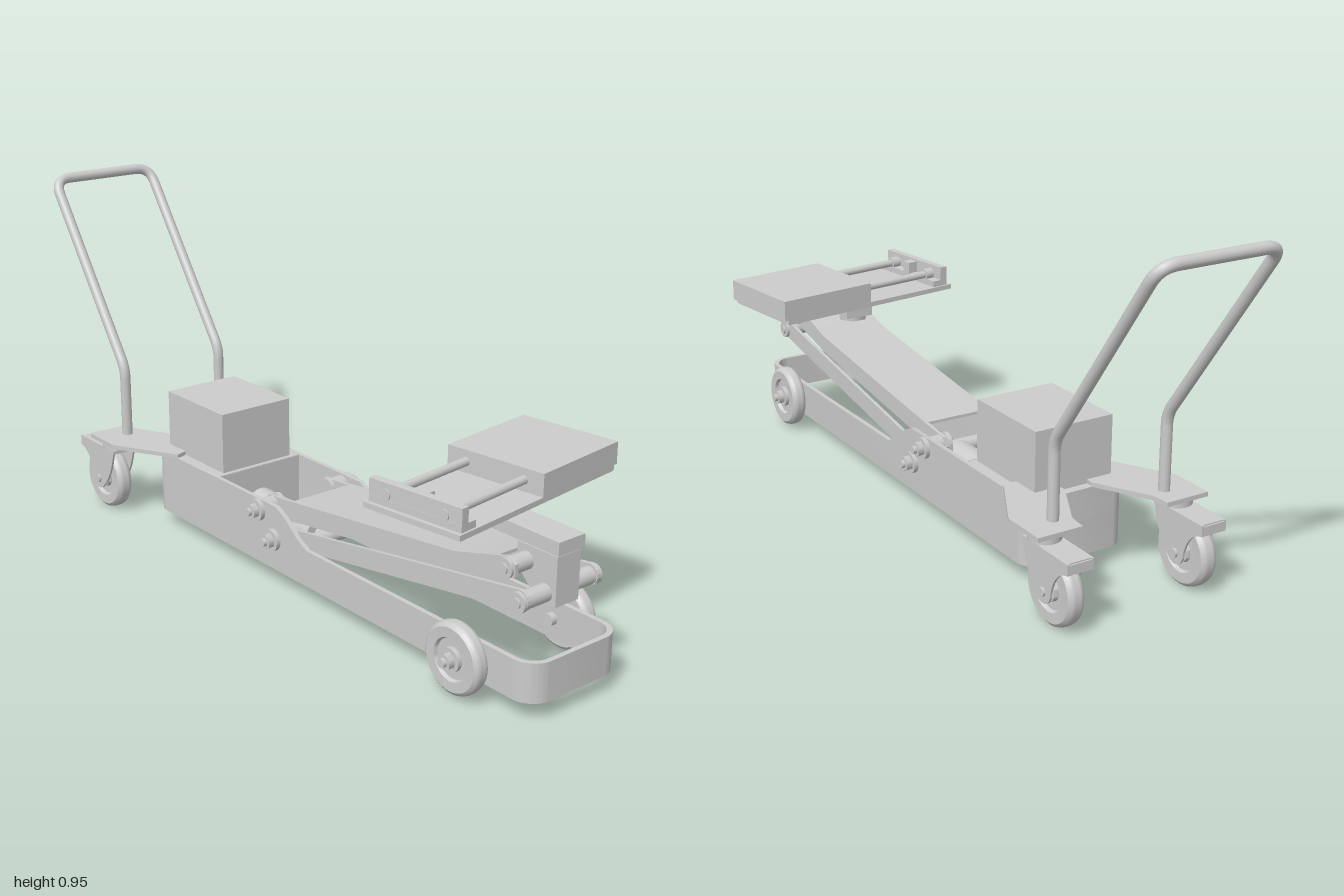
import * as THREE from 'three';
import { toCreasedNormals } from 'three/addons/utils/BufferGeometryUtils.js';

const grey = new THREE.MeshStandardMaterial({ color: 0xcccccc, side: THREE.DoubleSide });

function add(parent, name, geo, x = 0, y = 0, z = 0) {
  const mesh = new THREE.Mesh(geo, grey);
  mesh.name = name;
  mesh.position.set(x, y, z);
  parent.add(mesh);
  return mesh;
}

const box = (w, h, d) => new THREE.BoxGeometry(w, h, d);
const rodY = (r, h, n = 24) => new THREE.CylinderGeometry(r, r, h, n);
const rodZ = (r, h, n = 24) => rodY(r, h, n).rotateX(Math.PI / 2);
const rodX = (r, h, n = 24) => rodY(r, h, n).rotateZ(Math.PI / 2);
const poly = (pts) => new THREE.Shape(pts.map(([x, y]) => new THREE.Vector2(x, y)));

function extrude(shape, depth) {
  const geo = new THREE.ExtrudeGeometry(shape, { depth, bevelEnabled: false, curveSegments: 8 });
  return toCreasedNormals(geo, 0.5);
}
// Horizontal plate: shape drawn in x/z, rising from y0 by h
const slab = (shape, y0, h) => extrude(shape, h).rotateX(Math.PI / 2).translate(0, y0 + h, 0);
// Vertical plate: shape drawn in x/y, centred on z
const plate = (shape, z, t) => extrude(shape, t).translate(0, 0, z - t / 2);

// Rounded rectangle in x/z; square right-hand corners when rr is 0
function roundRect(x0, x1, half, rl, rr) {
  const s = new THREE.Shape();
  s.moveTo(x0 + rl, -half);
  s.lineTo(x1 - rr, -half);
  if (rr) s.absarc(x1 - rr, -half + rr, rr, -Math.PI / 2, 0);
  else s.lineTo(x1, half);
  if (rr) s.absarc(x1 - rr, half - rr, rr, 0, Math.PI / 2);
  s.lineTo(x0 + rl, half);
  s.absarc(x0 + rl, half - rl, rl, Math.PI / 2, Math.PI);
  s.absarc(x0 + rl, -half + rl, rl, Math.PI, Math.PI * 1.5);
  return s;
}

// Straight bar with rounded ends between two points in x/y
function link(x0, y0, x1, y1, r) {
  const a = Math.atan2(y1 - y0, x1 - x0);
  const s = new THREE.Shape();
  s.absarc(x1, y1, r, a - Math.PI / 2, a + Math.PI / 2);
  s.absarc(x0, y0, r, a + Math.PI / 2, a + Math.PI * 1.5);
  return s;
}

// Wheel turned about z with a rounded tread and recessed disc
function wheel(r, w) {
  const h = w / 2;
  const half = [[0, h], [0.3 * r, h], [0.32 * r, 0.5 * h], [0.56 * r, 0.5 * h], [0.6 * r, 0.95 * h], [0.88 * r, h], [0.97 * r, 0.7 * h], [r, 0.3 * h]];
  const pts = [...half.map(([a, b]) => [a, -b]), ...half.reverse()];
  const geo = new THREE.LatheGeometry(pts.map(([a, b]) => new THREE.Vector2(a, b)), 40);
  return toCreasedNormals(geo.rotateX(Math.PI / 2), 0.6);
}

function bolt(parent, name, x, y, z, side) {
  add(parent, name + 'Washer', rodZ(0.03, 0.012), x, y, z);
  add(parent, name + 'Nut', rodZ(0.021, 0.018, 6), x, y, z + side * 0.014);
  add(parent, name + 'Tip', rodZ(0.011, 0.012, 16), x, y, z + side * 0.027);
}

function buildChassis(g) {
  // Long low ring with a raised rear section
  const ring = roundRect(-0.505, 0.998, 0.15, 0.05, 0.06);
  ring.holes.push(roundRect(-0.492, 0.985, 0.137, 0.04, 0.05));
  add(g, 'frameRing', slab(ring, 0.05, 0.1));
  const rear = roundRect(-0.505, -0.2, 0.15, 0.05, 0);
  rear.holes.push(roundRect(-0.492, -0.208, 0.137, 0.04, 0));
  add(g, 'rearWall', slab(rear, 0.15, 0.08));
  add(g, 'rearDeck', slab(roundRect(-0.5, -0.2, 0.145, 0.045, 0), 0.22, 0.009));
  add(g, 'bulkhead', box(0.01, 0.178, 0.275), -0.203, 0.14, 0);
  add(g, 'pumpBox', box(0.265, 0.17, 0.23), -0.347, 0.314, 0);
  for (const s of [-1, 1]) {
    const cheek = poly([[-0.2, 0.15], [0.2, 0.15], [0.16, 0.17], [0.11, 0.21], [0.07, 0.23], [-0.2, 0.23]]);
    add(g, 'sideCheek', plate(cheek, s * 0.1435, 0.013));
    // Arm pivots
    for (const [x, y] of [[-0.005, 0.2], [0.06, 0.135]]) {
      add(g, 'pivotBush', rodZ(0.026, 0.055), x, y, s * 0.112);
      bolt(g, 'pivot', x, y, s * 0.156, s);
    }
    // Front wheels
    add(g, 'frontWheel', wheel(0.09, 0.042), 0.79, 0.102, s * 0.18);
    bolt(g, 'frontAxle', 0.79, 0.102, s * 0.196, s);
    add(g, 'frontAxle', rodZ(0.016, 0.06), 0.79, 0.102, s * 0.15);
  }
}

function buildCasters(g) {
  for (const s of [-1, 1]) {
    const wing = poly([[-0.695, 0.25], [-0.57, 0.25], [-0.39, 0.148], [-0.42, 0.05], [-0.5, 0.04], [-0.645, 0.12], [-0.695, 0.125]]
      .map(([x, z]) => [x, s * z]));
    add(g, 'casterWing', slab(wing, 0.228, 0.012));
    const c = new THREE.Group();
    c.name = 'caster';
    c.position.z = s * 0.195;
    g.add(c);
    add(c, 'casterWheel', wheel(0.093, 0.046), -0.69, 0.098, 0);
    add(c, 'casterAxle', rodZ(0.012, 0.088, 16), -0.69, 0.098, 0);
    add(c, 'swivel', rodY(0.042, 0.024), -0.64, 0.217, 0);
    add(c, 'forkTop', box(0.18, 0.01, 0.074), -0.692, 0.201, 0);
    add(c, 'forkLip', box(0.008, 0.025, 0.074), -0.782, 0.19, 0);
    const side = new THREE.Shape();
    side.moveTo(-0.786, 0.206);
    side.lineTo(-0.786, 0.178);
    side.quadraticCurveTo(-0.735, 0.17, -0.72, 0.1);
    side.absarc(-0.69, 0.098, 0.03, Math.PI, Math.PI * 1.8);
    side.quadraticCurveTo(-0.62, 0.12, -0.602, 0.206);
    for (const t of [-1, 1]) add(c, 'forkSide', plate(side, t * 0.034, 0.006));
  }
}

function buildHandle(g) {
  // Push handle: two bent uprights joined by a rounded top bar
  const low = [-0.63, 0.235], knee = [-0.63, 0.44], top = [-0.985, 0.94], w = 0.165;
  const v = ([x, y], z) => new THREE.Vector3(x, y, z);
  const corners = [v(low, -w), v(knee, -w), v(top, -w), v(top, w), v(knee, w), v(low, w)];
  const path = new THREE.CurvePath();
  let from = corners[0];
  for (let i = 1; i < 5; i++) {
    const p = corners[i];
    const r = i === 1 || i === 4 ? 0.03 : 0.05;
    const a = p.clone().add(corners[i - 1].clone().sub(p).setLength(r));
    const b = p.clone().add(corners[i + 1].clone().sub(p).setLength(r));
    path.add(new THREE.LineCurve3(from, a));
    path.add(new THREE.QuadraticBezierCurve3(a, p, b));
    from = b;
  }
  path.add(new THREE.LineCurve3(from, corners[5]));
  add(g, 'handle', new THREE.TubeGeometry(path, 240, 0.015, 14));
}

function buildArm(g) {
  // Main lifting arm: side plates with a bent top skin
  const side = poly([[-0.035, 0.2], [-0.025, 0.225], [0.04, 0.23], [0.69, 0.31], [0.86, 0.357], [0.888, 0.345], [0.888, 0.315],
    [0.86, 0.3], [0.69, 0.262], [0.13, 0.187], [0.02, 0.168], [-0.02, 0.172]]);
  const skin = poly([[0.075, 0.234], [0.69, 0.31], [0.83, 0.349], [0.83, 0.341], [0.69, 0.302], [0.075, 0.226]]);
  add(g, 'armSkin', plate(skin, 0, 0.2));
  for (const s of [-1, 1]) {
    add(g, 'armSide', plate(side, s * 0.097, 0.01));
    add(g, 'lowerLink', plate(link(0.06, 0.135, 0.92, 0.275, 0.026), s * 0.113, 0.01));
    // Lever on the arm pivot, driven by the cylinder
    add(g, 'lever', plate(link(-0.005, 0.2, 0, 0.068, 0.03), s * 0.085, 0.012));
    add(g, 'leverPinEnd', rodZ(0.018, 0.03, 16), 0, 0.062, s * 0.09);
  }
  add(g, 'leverPin', rodZ(0.014, 0.17, 16), 0.0, 0.062, 0);
  add(g, 'cylinder', rodX(0.047, 0.27, 32), -0.065, 0.115, 0);
  add(g, 'pistonRod', rodX(0.02, 0.07), 0.09, 0.115, 0);
  add(g, 'crossPin', rodZ(0.02, 0.23), 0.115, 0.125, 0);

  // Head block and its pins
  const head = poly([[0.83, 0.31], [0.89, 0.25], [0.953, 0.245], [0.953, 0.368], [0.83, 0.368]]);
  add(g, 'headBlock', plate(head, 0, 0.075));
  for (const [x, y, half] of [[0.86, 0.33, 0.105], [0.92, 0.272, 0.122]]) {
    add(g, 'headPin', rodZ(0.022, half * 1.8), x, y, 0);
    add(g, 'headPinCore', rodZ(0.013, half * 2 + 0.02, 16), x, y, 0);
    for (const s of [-1, 1]) add(g, 'headPinCap', rodZ(0.025, 0.01), x, y, s * half);
  }
}

function buildPlatform(g) {
  // Swing plate carrying the turntable
  add(g, 'swingPlate', box(0.32, 0.034, 0.085), 0.795, 0.387, -0.005);
  add(g, 'turntablePost', rodY(0.026, 0.08), 0.68, 0.395, -0.005);
  add(g, 'turntableNut', rodY(0.045, 0.02, 6), 0.68, 0.367, -0.005);
  add(g, 'turntableCollar', rodY(0.036, 0.012), 0.68, 0.42, -0.005);

  const p = new THREE.Group();
  p.name = 'loadPlatform';
  p.position.set(0.678, 0, -0.035);
  p.rotation.y = 0.132;
  g.add(p);
  add(p, 'basePlate', box(0.282, 0.014, 0.59), 0, 0.437, 0.007);
  add(p, 'loadBlock', box(0.282, 0.058, 0.3), 0, 0.473, -0.15);
  add(p, 'clampRail', box(0.27, 0.018, 0.05), 0, 0.453, 0.265);
  add(p, 'clampBar', box(0.27, 0.056, 0.022), 0, 0.473, 0.278);
  add(p, 'clampStop', box(0.03, 0.05, 0.03), 0, 0.47, 0.252);
  for (const s of [-1, 1]) {
    add(p, 'guideRod', rodZ(0.011, 0.28, 16), s * 0.085, 0.473, 0.13);
    add(p, 'clampBoss', rodZ(0.017, 0.03), s * 0.085, 0.473, 0.255);
    add(p, 'guideRodEnd', rodZ(0.014, 0.006, 16), s * 0.085, 0.473, 0.29);
  }
}

export function createModel() {
  const model = new THREE.Group();
  model.name = 'hydraulicLiftTrolley';
  const g = new THREE.Group();
  g.name = 'trolley';
  g.position.z = 0.03;
  model.add(g);
  for (const build of [buildChassis, buildCasters, buildHandle, buildArm, buildPlatform]) build(g);
  return model;
}
